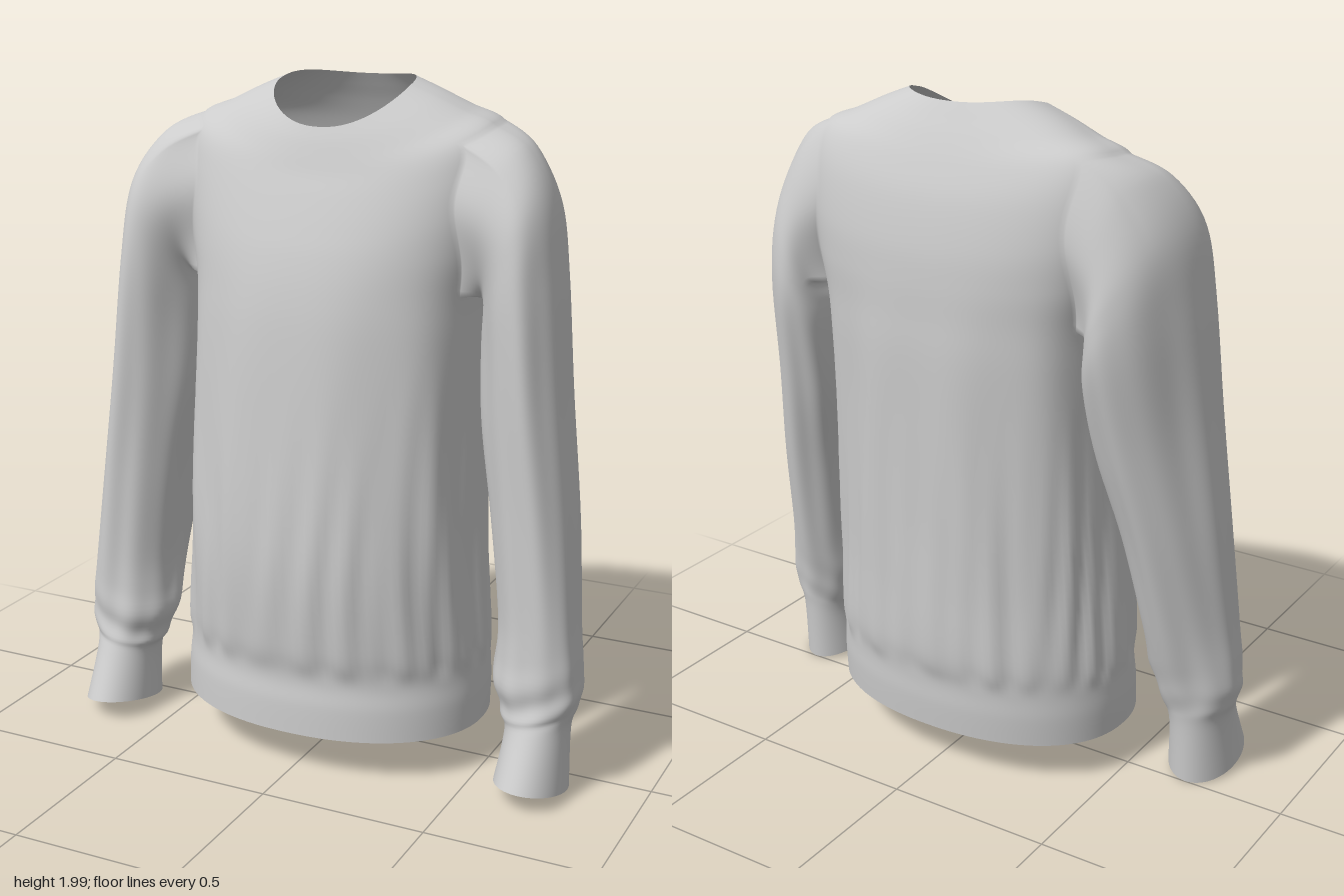
import * as THREE from 'three';

const N = 144;        // points around the torso
const K = 14;         // armhole half-width in torso points
const SUB = 7;        // steps between two key sections
const HOLE = [8, 12]; // key sections at the armpit and the shoulder point

// Torso sections: y at front, side, back; half-width; z at front, back
const torsoKeys = [
  [0.13, 0.13, 0.135, 0.478, 0.352, -0.332],
  [0.22, 0.22, 0.22, 0.478, 0.347, -0.338],
  [0.30, 0.30, 0.30, 0.472, 0.338, -0.340],
  [0.40, 0.40, 0.40, 0.468, 0.355, -0.355],
  [0.60, 0.60, 0.60, 0.455, 0.368, -0.358],
  [0.80, 0.80, 0.80, 0.448, 0.362, -0.360],
  [1.10, 1.10, 1.10, 0.440, 0.338, -0.364],
  [1.30, 1.30, 1.30, 0.437, 0.317, -0.366],
  [1.42, 1.42, 1.42, 0.440, 0.297, -0.362],
  [1.52, 1.54, 1.52, 0.460, 0.271, -0.358],
  [1.60, 1.66, 1.62, 0.477, 0.242, -0.348],
  [1.68, 1.78, 1.74, 0.480, 0.209, -0.322],
  [1.74, 1.872, 1.83, 0.455, 0.182, -0.287],
  [1.79, 1.908, 1.90, 0.370, 0.163, -0.252],
  [1.83, 1.945, 1.95, 0.285, 0.147, -0.222],
  [1.865, 1.975, 1.985, 0.205, 0.130, -0.200],
];

// Sleeve sections: inner x, y; outer x, y; z at front, back; tilt of the front;
// forward shift of the outer side
const sleeveKeys = [
  [0.43, 1.42, 0.455, 1.872, 0.13, -0.26, 0, 0.02],
  [0.445, 1.39, 0.562, 1.82, 0.14, -0.272, 0, 0.045],
  [0.437, 1.34, 0.643, 1.69, 0.16, -0.285, 0, 0.065],
  [0.435, 1.25, 0.68, 1.48, 0.175, -0.28, 0, 0.07],
  [0.45, 1.05, 0.715, 1.15, 0.183, -0.225, 0, 0.06],
  [0.495, 0.80, 0.757, 0.80, 0.187, -0.155, 0, 0.04],
  [0.535, 0.50, 0.787, 0.50, 0.19, -0.08, 0, 0.03],
  [0.54, 0.34, 0.805, 0.35, 0.20, -0.04, 0, 0.01],
  [0.57, 0.24, 0.80, 0.27, 0.205, -0.02, 0, 0],
  [0.595, 0.18, 0.78, 0.20, 0.225, -0.01, 0.01, 0],
  [0.585, 0.04, 0.79, 0.025, 0.30, 0, 0.03, 0],
];

const { smoothstep } = THREE.MathUtils;
const power = (v, p) => Math.sign(v) * Math.abs(v) ** p;

// Smooth interpolation between key sections
function sample(keys, t) {
  const i = Math.min(Math.floor(t), keys.length - 2);
  const f = t - i;
  const a = keys[Math.max(i - 1, 0)], b = keys[i], c = keys[i + 1];
  const d = keys[Math.min(i + 2, keys.length - 1)];
  return b.map((p, j) => p + 0.5 * f * (c[j] - a[j]
    + f * (2 * a[j] - 5 * p + 4 * c[j] - d[j] + f * (3 * (p - c[j]) + d[j] - a[j]))));
}

// Torso point with hanging folds between the hem band and the chest
function torsoPoint(t, turn) {
  const [yF, yS, yB, w, zF, zB] = sample(torsoKeys, t);
  // Gather points toward the sides to round the armhole at armpit and shoulder
  const gather = 0.27 * smoothstep(t, 5, 8) * (1 - smoothstep(t, 8, 10.5))
    + 0.12 * smoothstep(t, 10.5, 12) * (1 - smoothstep(t, 12, 14.5));
  const a = turn - gather * Math.sin(2 * turn);
  const c = Math.cos(a), s = Math.sin(a);
  const mid = (zF + zB) / 2, half = (zF - zB) / 2;
  const y = yS + (yF - yB) / 2 * s + ((yF + yB) / 2 - yS) * s * s;
  // The upper back is broad and squarish
  const broad = smoothstep(t, 3, 9) * (1 - smoothstep(t, 11, 14.5));
  const amount = smoothstep(y, 0.29, 0.36) * (1 - smoothstep(y, 0.5, 1.3));
  const drape = smoothstep(y, 0.35, 0.8) * (1 - smoothstep(y, 1.1, 1.6));
  const fold = amount * (0.011 * Math.sin(19 * a + 2.5 * Math.sin(3 * a + 3 * y))
      + 0.006 * Math.sin(31 * a + 3 * y))
    + drape * 0.018 * Math.cos(10 * a + 0.9 * Math.sin(2 * a + 2 * y))
      * (0.3 + 0.6 * c * c + (s < 0 ? 0.3 * s * s : 0));
  const k = 1 + fold;
  return [w * power(c, 0.92) * k, y,
    mid + half * power(s, s < 0 ? 0.87 - 0.33 * broad : 0.97 - 0.1 * broad) * k];
}

// Sleeve point: angle 0 is the outer side, a quarter turn is the front
function sleevePoint(t, a) {
  const [xi, yi, xo, yo, zF, zB, tilt, shift] = sample(sleeveKeys, t);
  const c = Math.cos(a), s = Math.sin(a);
  const long = smoothstep(t, 1.5, 4) * (1 - smoothstep(t, 7.2, 8.8));
  const elbow = smoothstep(t, 6.2, 7.4) * (1 - smoothstep(t, 8, 9));
  const k = 1 + long * (0.025 * Math.sin(5 * a + 0.6 * t) + 0.015 * Math.sin(9 * a - 0.4 * t))
    + elbow * 0.04 * Math.sin(5 * t + 3 * Math.cos(a + 0.8)) * (0.6 + 0.4 * Math.cos(a - 2));
  return [
    (xi + xo) / 2 + (xo - xi) / 2 * c * k,
    (yi + yo) / 2 + (yo - yi) / 2 * c * k + tilt * s,
    (zF + zB) / 2 + (zF - zB) / 2 * s * k + shift * c,
  ];
}

export function createModel() {
  const positions = [];
  const add = (p) => positions.push(...p) / 3 - 1;
  const quad = (list, a, b, c, d) => list.push(a, b, c, a, c, d);

  // Torso, leaving an armhole open on each side
  const rows = (torsoKeys.length - 1) * SUB;
  const [low, high] = HOLE.map((h) => h * SUB);
  const id = (u, v) => v * N + (u + N) % N;
  for (let v = 0; v <= rows; v++)
    for (let u = 0; u < N; u++) add(torsoPoint(v / SUB, u / N * Math.PI * 2));
  const torso = [];
  for (let v = 0; v < rows; v++) {
    for (let u = 0; u < N; u++) {
      const fromSide = (u + K) % (N / 2);
      if (v >= low && v < high && fromSide < 2 * K) continue;
      quad(torso, id(u, v), id(u, v + 1), id(u + 1, v + 1), id(u + 1, v));
    }
  }

  // Armhole edge, from the shoulder point round by the front
  const edge = [];
  for (let u = 0; u < K; u++) edge.push([u, high]);
  for (let v = high; v > low; v--) edge.push([K, v]);
  for (let u = K; u > -K; u--) edge.push([u, low]);
  for (let v = low; v < high; v++) edge.push([-K, v]);
  for (let u = -K; u < 0; u++) edge.push([u, high]);

  // Sleeves grow out of the armhole edges
  function sleeve(side) {
    const list = [];
    const n = edge.length;
    let last = edge.map(([u, v]) => id(side > 0 ? u : N / 2 - u, v));
    const offsets = last.map((p, j) => {
      const q = sleevePoint(0, j / n * Math.PI * 2);
      return [positions[3 * p] * side - q[0], positions[3 * p + 1] - q[1], positions[3 * p + 2] - q[2]];
    });
    const steps = (sleeveKeys.length - 1) * SUB;
    for (let i = 1; i <= steps; i++) {
      const t = i / SUB;
      const fade = 1 - smoothstep(t, 0, 2);
      const next = offsets.map((o, j) => {
        const q = sleevePoint(t, j / n * Math.PI * 2).map((x, m) => x + o[m] * fade);
        return add([q[0] * side, q[1], q[2]]);
      });
      for (let j = 0; j < n; j++) {
        const k = (j + 1) % n;
        if (side > 0) quad(list, last[j], last[k], next[k], next[j]);
        else quad(list, last[j], next[j], next[k], last[k]);
      }
      last = next;
    }
    return list;
  }
  const parts = { torso, leftSleeve: sleeve(1), rightSleeve: sleeve(-1) };

  // Shared normals keep the shoulder seams smooth
  const whole = new THREE.BufferGeometry();
  whole.setAttribute('position', new THREE.Float32BufferAttribute(positions, 3));
  whole.setIndex(Object.values(parts).flat());
  whole.computeVertexNormals();

  const cloth = new THREE.MeshStandardMaterial({ color: 0xcccccc, side: THREE.DoubleSide });
  const group = new THREE.Group();
  group.name = 'sweater';
  for (const [name, index] of Object.entries(parts)) {
    const geometry = new THREE.BufferGeometry();
    geometry.setAttribute('position', whole.attributes.position);
    geometry.setAttribute('normal', whole.attributes.normal);
    geometry.setIndex(index);
    const mesh = new THREE.Mesh(geometry, cloth);
    mesh.name = name;
    group.add(mesh);
  }
  return group;
}
